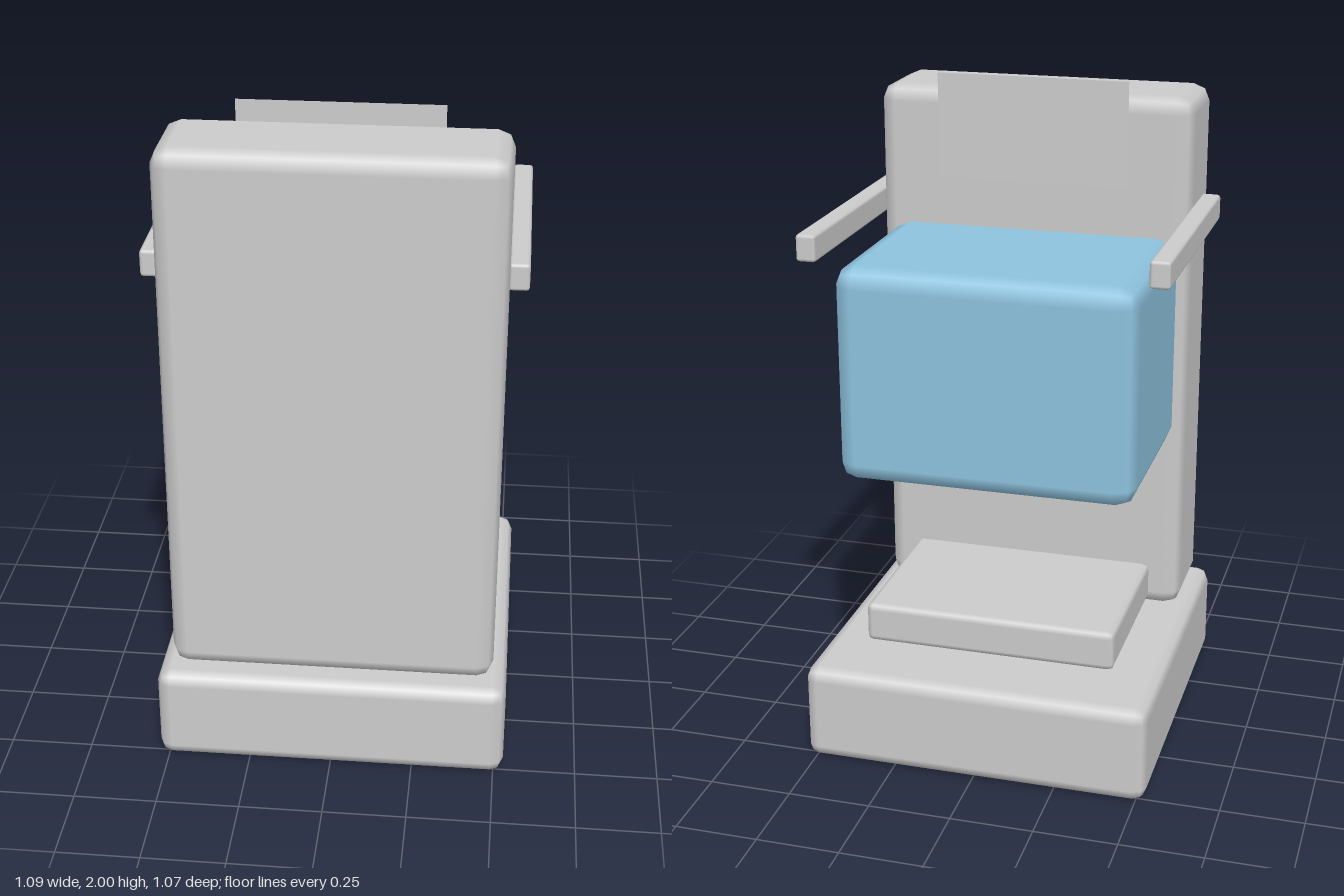
import * as THREE from 'three';
import { RoundedBoxGeometry } from 'three/addons/geometries/RoundedBoxGeometry.js';

export function createModel() {
  const model = new THREE.Group();
  model.name = 'pedestalChair';

  const grey = new THREE.MeshStandardMaterial({ color: 0xcccccc });
  grey.name = 'light grey';
  const blue = new THREE.MeshStandardMaterial({ color: 0x8ec3df });
  blue.name = 'soft blue';
  const greySheet = grey.clone();
  greySheet.side = THREE.DoubleSide;
  greySheet.name = 'light grey sheet';

  // Box with a two-facet rounded edge, given by its limits on each axis
  function block(name, [x0, x1], [y0, y1], [z0, z1], radius, material) {
    const mesh = new THREE.Mesh(
      new RoundedBoxGeometry(x1 - x0, y1 - y0, z1 - z0, 1, radius), material);
    mesh.position.set((x0 + x1) / 2, (y0 + y1) / 2, (z0 + z1) / 2);
    mesh.name = name;
    model.add(mesh);
  }

  // Plinth and upright column
  block('base', [-0.53, 0.53], [0, 0.3], [-0.535, 0.53], 0.04, grey);
  block('column', [-0.488, 0.488], [0.305, 1.955], [0.16, 0.478], 0.05, grey);

  // Low step and big cushion, both running into the column
  block('footrest', [-0.39, 0.39], [0.325, 0.45], [-0.35, 0.25], 0.02, grey);
  block('seat', [-0.45, 0.45], [0.87, 1.53], [-0.408, 0.25], 0.06, blue);

  // Armrests
  for (const side of [-1, 1]) {
    block(side > 0 ? 'leftArm' : 'rightArm',
      [side * 0.513 - 0.03, side * 0.513 + 0.03], [1.547, 1.627], [-0.422, 0.377], 0.01, grey);
  }

  // Thin head panel just off the column face
  const panel = new THREE.Mesh(new THREE.PlaneGeometry(0.59, 0.32), greySheet);
  panel.position.set(0, 1.84, 0.154);
  panel.rotation.y = Math.PI;
  panel.name = 'headPanel';
  model.add(panel);

  return model;
}
